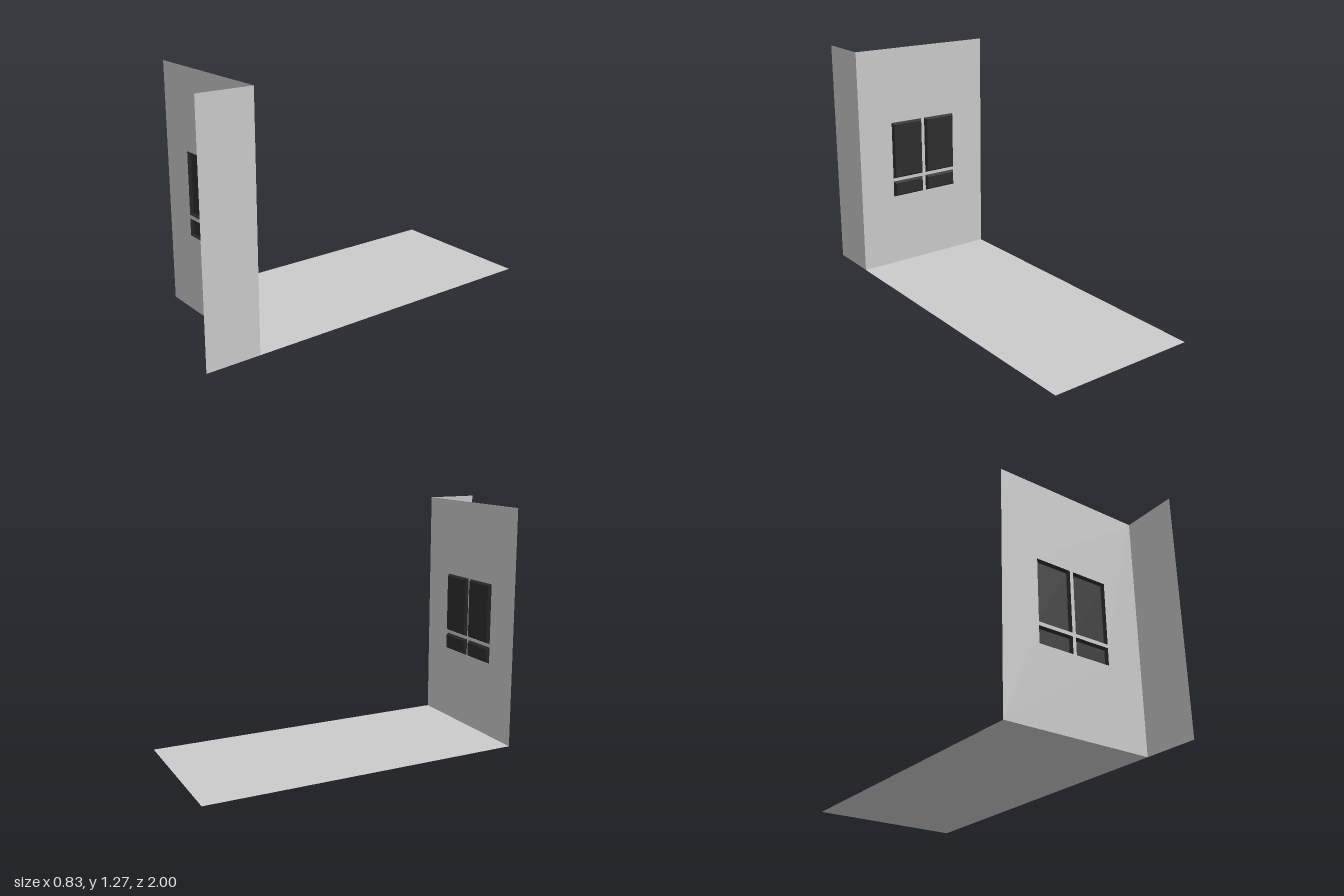
import * as THREE from 'three';

const HALF_W = 0.413, HEIGHT = 1.275, WALL_Z = 0.712;
const INSET = 0.01, DEPTH = 0.015;

// Window openings as [x0, y0, x1, y1]: two tall panes above two short ones
const openings = [];
for (const [x0, x1] of [[-0.208, -0.011], [0.009, 0.206]]) {
  for (const [y0, y1] of [[0.411, 0.502], [0.521, 0.851]]) openings.push([x0, y0, x1, y1]);
}

// Corners of a rectangle, counter-clockwise from the lower left
const corners = ([x0, y0, x1, y1]) => [[x0, y0], [x1, y0], [x1, y1], [x0, y1]];

// Shallow tray: four sloped reveals and a flat pane behind the wall
function paneGeometry([x0, y0, x1, y1]) {
  const outer = corners([x0, y0, x1, y1]).map(p => [...p, WALL_Z]);
  const inner = corners([x0 + INSET, y0 + INSET, x1 - INSET, y1 - INSET])
    .map(p => [...p, WALL_Z - DEPTH]);
  const pos = [];
  const quad = (a, b, c, d) => pos.push(...a, ...b, ...c, ...a, ...c, ...d);
  for (let i = 0; i < 4; i++) {
    const j = (i + 1) % 4;
    quad(outer[i], outer[j], inner[j], inner[i]);
  }
  quad(...inner);
  const geo = new THREE.BufferGeometry();
  geo.setAttribute('position', new THREE.Float32BufferAttribute(pos, 3));
  geo.computeVertexNormals();
  return geo;
}

export function createModel() {
  const group = new THREE.Group();
  const plaster = new THREE.MeshStandardMaterial({ color: 0xcccccc, side: THREE.DoubleSide });
  plaster.name = 'light grey';
  const glass = new THREE.MeshStandardMaterial({ color: 0x2d2d2d, side: THREE.DoubleSide });
  glass.name = 'dark grey';

  const add = (name, geo, mat) => {
    const mesh = new THREE.Mesh(geo, mat);
    mesh.name = name;
    group.add(mesh);
    return mesh;
  };
  const toShape = (Type, rect) => new Type(corners(rect).map(p => new THREE.Vector2(...p)));

  // Front wall with the four openings cut out
  const wall = toShape(THREE.Shape, [-HALF_W, 0, HALF_W, HEIGHT]);
  wall.holes = openings.map(o => toShape(THREE.Path, o));
  add('frontWall', new THREE.ShapeGeometry(wall).translate(0, 0, WALL_Z), plaster);

  // Side wall projecting forward from the left edge
  const sideDepth = 1 - WALL_Z;
  add('sideWall', new THREE.PlaneGeometry(sideDepth, HEIGHT).rotateY(Math.PI / 2)
    .translate(HALF_W, HEIGHT / 2, WALL_Z + sideDepth / 2), plaster);

  // Floor running back from the foot of the wall
  const floorDepth = WALL_Z + 1;
  add('floor', new THREE.PlaneGeometry(HALF_W * 2, floorDepth).rotateX(-Math.PI / 2)
    .translate(0, 0, WALL_Z - floorDepth / 2), plaster);

  // Recessed window panes
  openings.forEach((o, i) => add('windowPane' + (i + 1), paneGeometry(o), glass));

  return group;
}
